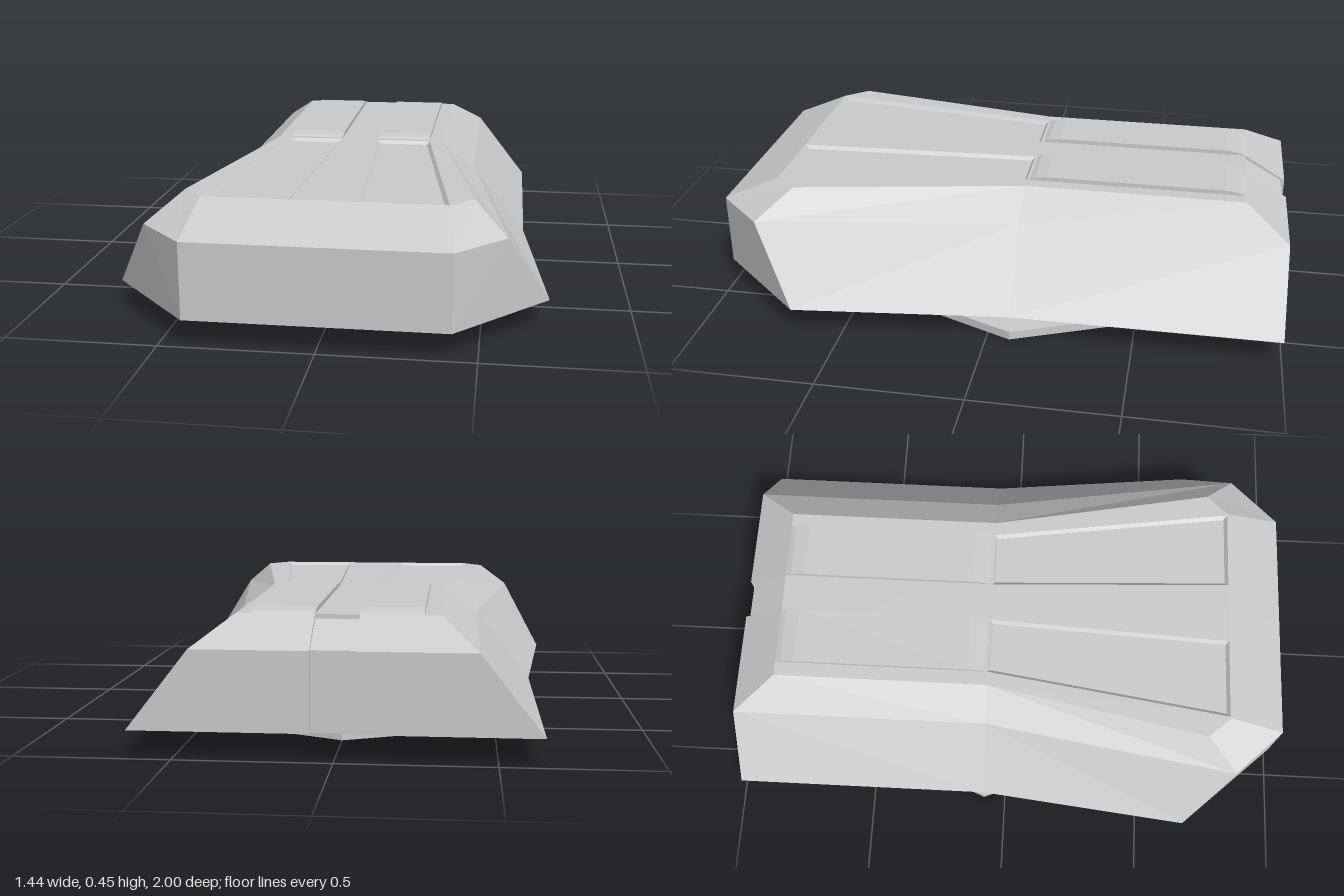
import * as THREE from 'three';

const grey = new THREE.MeshStandardMaterial({ color: 0xcccccc, flatShading: true });
const thin = new THREE.MeshStandardMaterial({ color: 0xcccccc, flatShading: true, side: THREE.DoubleSide });
const CENTRE_Z = -0.08, TOP = 0.435;

function addMesh(parent, name, geometry, material = grey) {
  const mesh = new THREE.Mesh(geometry, material);
  mesh.name = name;
  parent.add(mesh);
  return mesh;
}

// Collects quads for the +x half and mirrors each one to -x
function mirroredQuads(build) {
  const pos = [];
  const tri = (a, b, c) => pos.push(...a, ...b, ...c);
  const flip = ([x, y, z]) => [-x, y, z];
  build((a, b, c, d) => {
    tri(a, b, c);
    tri(a, c, d);
    const [e, f, g, h] = [a, b, c, d].map(flip);
    tri(e, g, f);
    tri(e, h, g);
  });
  const geometry = new THREE.BufferGeometry();
  geometry.setAttribute('position', new THREE.Float32BufferAttribute(pos, 3));
  geometry.computeVertexNormals();
  return geometry;
}

// Half outlines [x, z] from back to front at each height
const levels = [
  { y: 0.09, pts: [[0.64, -1], [0.64, -0.08], [0.72, 0.67], [0.42, 1]] },
  { y: 0.345, pts: [[0.44, -1], [0.44, -0.08], [0.58, 0.83], [0.42, 1]] },
  { y: TOP, pts: [[0.32, -0.85], [0.32, -0.08], [0.47, 0.72], [0.4, 0.8]] },
];
const at = (j, i) => [levels[j].pts[i][0], levels[j].y, levels[j].pts[i][1]];
const onX = (p, x) => [x, p[1], p[2]];

// Sunken front panel, outer rim and smaller floor
const rim = [[0.07, -0.08], [0.27, -0.08], [0.395, 0.795], [0.11, 0.795]];
const floor = [[0.082, -0.07], [0.26, -0.07], [0.381, 0.783], [0.121, 0.783]];

function shellGeometry() {
  return mirroredQuads((quad) => {
    const w = 0.07;
    const groove = [[w, 0.09, -0.985], [w, 0.345, -0.985], [w, 0.421, -0.85]];
    for (let j = 0; j < 2; j++) {
      // Sides
      for (let i = 0; i < 3; i++) quad(at(j, i + 1), at(j, i), at(j + 1, i), at(j + 1, i + 1));
      // Front
      const f0 = at(j, 3), f1 = at(j + 1, 3);
      quad(onX(f0, 0), f0, f1, onX(f1, 0));
      // Back, with the shallow cable groove
      const b0 = at(j, 0), b1 = at(j + 1, 0), g0 = groove[j], g1 = groove[j + 1];
      quad(b0, onX(b0, w), onX(b1, w), b1);
      quad(g0, onX(g0, 0), onX(g1, 0), g1);
      quad(onX(b0, w), g0, g1, onX(b1, w));
    }
    // End wall of the groove
    const end = groove[2];
    quad(end, onX(end, 0), [0, TOP, -0.85], [w, TOP, -0.85]);
    // Underside
    for (let i = 0; i < 3; i++) {
      const a = at(0, i), b = at(0, i + 1);
      quad(onX(a, 0), a, b, onX(b, 0));
    }
  });
}

function topGeometry() {
  const vec = (sx) => ([x, z]) => new THREE.Vector2(x * sx, -z);
  const edge = levels[2].pts;
  const shape = new THREE.Shape([...edge.map(vec(1)), ...[...edge].reverse().map(vec(-1))]);
  for (const s of [1, -1]) shape.holes.push(new THREE.Path(rim.map(vec(s))));
  return new THREE.ShapeGeometry(shape).rotateX(-Math.PI / 2).translate(0, TOP, 0);
}

function panelGeometry() {
  const hi = rim.map(([x, z]) => [x, TOP, z]);
  const lo = floor.map(([x, z]) => [x, TOP - 0.012, z]);
  return mirroredQuads((quad) => {
    quad(lo[3], lo[2], lo[1], lo[0]);
    for (let i = 0; i < 4; i++) {
      const k = (i + 1) % 4;
      quad(hi[i], lo[i], lo[k], hi[k]);
    }
  });
}

// Raised pad: side profile swept across x
function padGeometry() {
  const profile = [[-0.09, 0.425], [-0.09, 0.437], [-0.11, 0.445], [-0.15, 0.45],
    [-0.78, 0.45], [-0.83, 0.443], [-0.85, 0.435], [-0.85, 0.425]];
  const shape = new THREE.Shape(profile.map(([z, y]) => new THREE.Vector2(-z, y)));
  return new THREE.ExtrudeGeometry(shape, { depth: 0.2, bevelEnabled: false }).rotateY(Math.PI / 2);
}

// Eight-sided ring from a profile of [radius, y]
const octagon = (profile) =>
  new THREE.LatheGeometry(profile.map(([r, y]) => new THREE.Vector2(r, y)), 8).translate(0, 0, CENTRE_Z);

export function createModel() {
  const model = new THREE.Group();
  model.name = 'pedal';

  const body = new THREE.Group();
  body.name = 'body';
  model.add(body);
  addMesh(body, 'shell', shellGeometry());
  addMesh(body, 'topFace', topGeometry());
  addMesh(body, 'sunkenPanels', panelGeometry());
  for (const [name, x] of [['leftPad', 0.07], ['rightPad', -0.27]]) {
    addMesh(body, name, padGeometry()).position.x = x;
  }

  const base = new THREE.Group();
  base.name = 'base';
  model.add(base);
  // Flat foot ring
  addMesh(base, 'footRing', octagon([[0.53, 0], [0.64, 0], [0.64, 0.03], [0.53, 0.03], [0.53, 0]]), thin);
  // Ribbed collar between foot and body
  const ribs = [[0.54, 0.03]];
  for (let i = 0; i < 4; i++) {
    const y = 0.034 + i * 0.015;
    ribs.push([0.51, y], [0.51, y + 0.007], [0.54, y + 0.007], [0.54, y + 0.012]);
  }
  ribs.push([0.51, 0.091]);
  addMesh(base, 'ribbedCollar', octagon(ribs), thin);

  return model;
}
